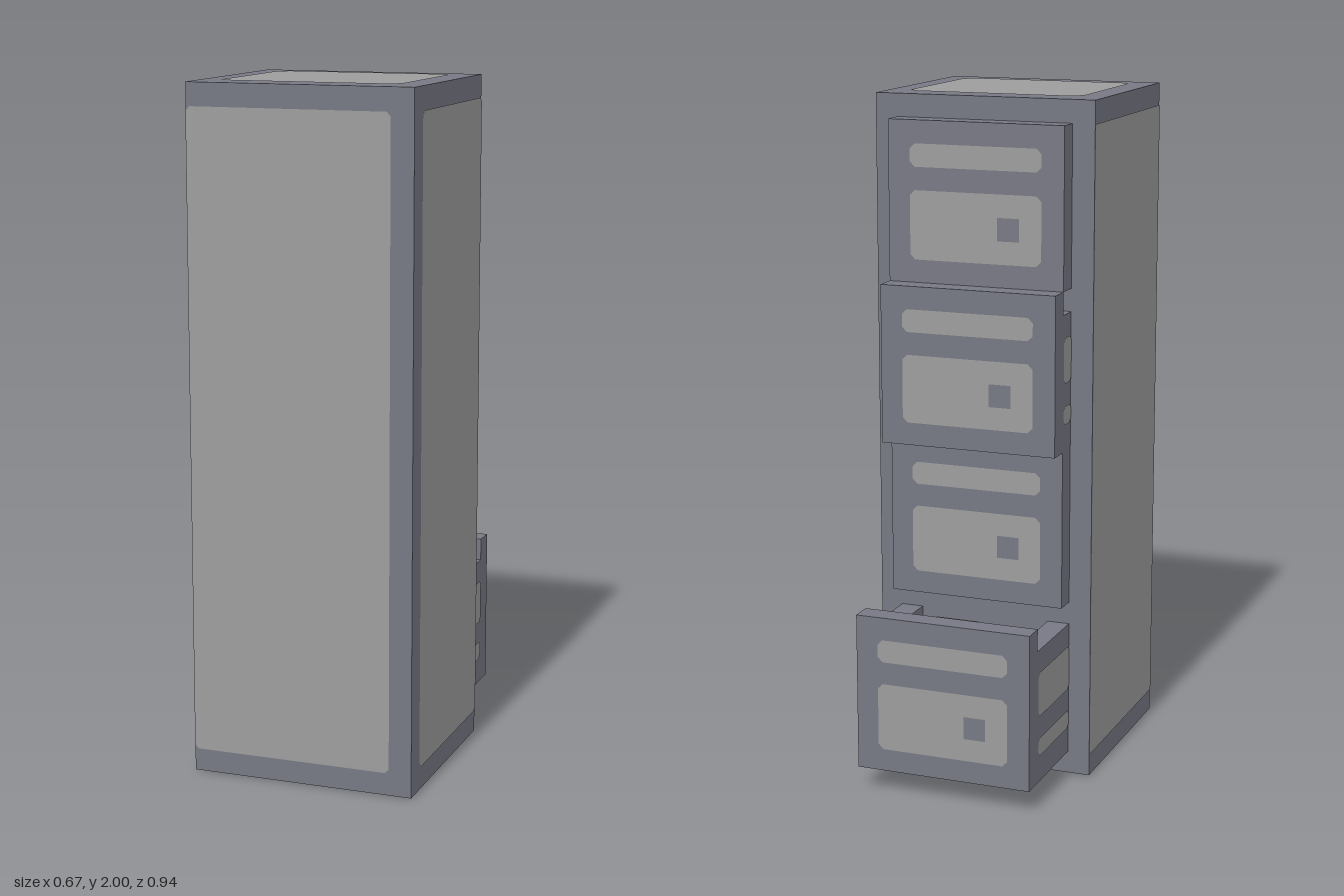
import * as THREE from 'three';

const U = 1 / 15; // one grid unit of the design
const BACK = -2 * U; // plane of the cabinet face that holds the drawers

const steel = new THREE.MeshStandardMaterial({ color: 0x777984 });
steel.name = 'steel frame';
const panel = new THREE.MeshStandardMaterial({ color: 0x9d9d9d });
panel.name = 'light panel';
const card = new THREE.MeshStandardMaterial({ color: 0x78664c });
card.name = 'brown card';

// Box given by its minimum and maximum corners
function box(parent, name, mat, [x0, y0, z0], [x1, y1, z1]) {
  const mesh = new THREE.Mesh(new THREE.BoxGeometry(x1 - x0, y1 - y0, z1 - z0), mat);
  mesh.position.set((x0 + x1) / 2, (y0 + y1) / 2, (z0 + z1) / 2);
  mesh.name = name;
  parent.add(mesh);
}

const TURN = {
  front: [0, 0, 0], back: [0, Math.PI, 0],
  left: [0, Math.PI / 2, 0], right: [0, -Math.PI / 2, 0],
  up: [-Math.PI / 2, 0, 0], down: [Math.PI / 2, 0, 0],
};

// Flat light inlay with clipped corners, lying just above a surface
function inlay(parent, name, facing, center, w, h, c = 0.012, hole = null) {
  const a = w / 2, b = h / 2;
  const outline = [
    [-a + c, -b], [a - c, -b], [a, -b + c], [a, b - c],
    [a - c, b], [-a + c, b], [-a, b - c], [-a, -b + c],
  ];
  const shape = new THREE.Shape(outline.map(([x, y]) => new THREE.Vector2(x, y)));
  if (hole) {
    const [x, y, r] = hole;
    shape.holes.push(new THREE.Path([
      new THREE.Vector2(x - r, y - r), new THREE.Vector2(x - r, y + r),
      new THREE.Vector2(x + r, y + r), new THREE.Vector2(x + r, y - r),
    ]));
  }
  const mesh = new THREE.Mesh(new THREE.ShapeGeometry(shape), panel);
  mesh.rotation.set(...TURN[facing]);
  mesh.position.set(...center);
  mesh.translateZ(0.002);
  mesh.name = name;
  parent.add(mesh);
}

// Drawer whose bottom is at y, pulled out by the given number of units
function drawer(y, pull) {
  const g = new THREE.Group();
  const inner = BACK - pull * U; // inside of the drawer front
  const outer = inner - U;
  const top = y + 6 * U;

  // Front plate with label strip and main panel with a square recess
  box(g, 'drawerFront', steel, [-4 * U, y, outer], [4 * U, y + 7 * U, inner]);
  inlay(g, 'labelStrip', 'back', [0, y + 5.5 * U, outer], 6 * U, U, 0.015);
  inlay(g, 'frontPanel', 'back', [0, y + 2.5 * U, outer], 6 * U, 3 * U, 0.015, [1.5 * U, 0, U / 2]);
  if (!pull) return g;

  // Tray
  box(g, 'trayFloor', steel, [-3 * U, y, inner], [3 * U, y + U, BACK]);
  for (const s of [-1, 1]) {
    const x = s * 3.5 * U;
    box(g, 'traySide', steel, [x - U / 2, y, inner], [x + U / 2, top, BACK]);
    const side = s > 0 ? 'left' : 'right';
    const z = (inner + BACK) / 2, w = pull * U - 0.005;
    inlay(g, 'sidePanel', side, [s * 4 * U, y + 4 * U, z], w, 2 * U);
    inlay(g, 'sideStrip', side, [s * 4 * U, y + 1.6 * U, z], w, 0.055);
  }
  if (pull > 2) {
    const d = (pull - 1) * U;
    inlay(g, 'floorPanel', 'up', [-U / 2, y + U, BACK - d / 2], 5 * U, d, 0.02);
    inlay(g, 'bottomPanel', 'down', [0, y, inner + 1.75 * U], 6 * U, 3.5 * U, 0.015);
  }

  // Folders with alternating paper tabs
  for (let i = 0; i * 1.5 < pull; i++) {
    const z = inner + i * 1.5 * U;
    const odd = i % 2;
    box(g, 'folder', card, [-2.99 * U, y + U, z + 0.001], [2.99 * U, y + 5 * U, z + U / 2]);
    const tz = z + (odd ? U / 4 : 0.001);
    const tx = odd ? -2 * U : 0;
    box(g, 'folderTab', panel, [tx, y + 5 * U, tz], [tx + 2 * U, y + 5.85 * U, tz + U / 4]);
  }
  return g;
}

export function createModel() {
  const model = new THREE.Group();
  model.name = 'filingCabinet';

  // Cabinet body
  const body = new THREE.Group();
  body.name = 'cabinetBody';
  box(body, 'shell', steel, [-5 * U, 0, BACK], [5 * U, 30 * U, 7 * U]);
  inlay(body, 'frontFacePanel', 'front', [-U / 2, 1, 7 * U], 9 * U, 28 * U);
  inlay(body, 'leftFacePanel', 'left', [5 * U, 1, 2 * U], 8 * U, 28 * U);
  inlay(body, 'rightFacePanel', 'right', [-5 * U, 1, 2.5 * U], 9 * U, 28 * U, 0.004);
  inlay(body, 'topPanel', 'up', [0, 2, 2.5 * U], 8 * U, 7 * U, 0.03);
  inlay(body, 'basePanel', 'down', [0, 0, 2.5 * U], 8 * U, 7 * U, 0.03);
  model.add(body);

  // Four drawers from bottom to top, two of them pulled out
  [4, 0, 1, 0].forEach((pull, i) => {
    const d = drawer((1 + 7 * i) * U, pull);
    d.name = 'drawer' + (i + 1);
    model.add(d);
  });
  return model;
}
